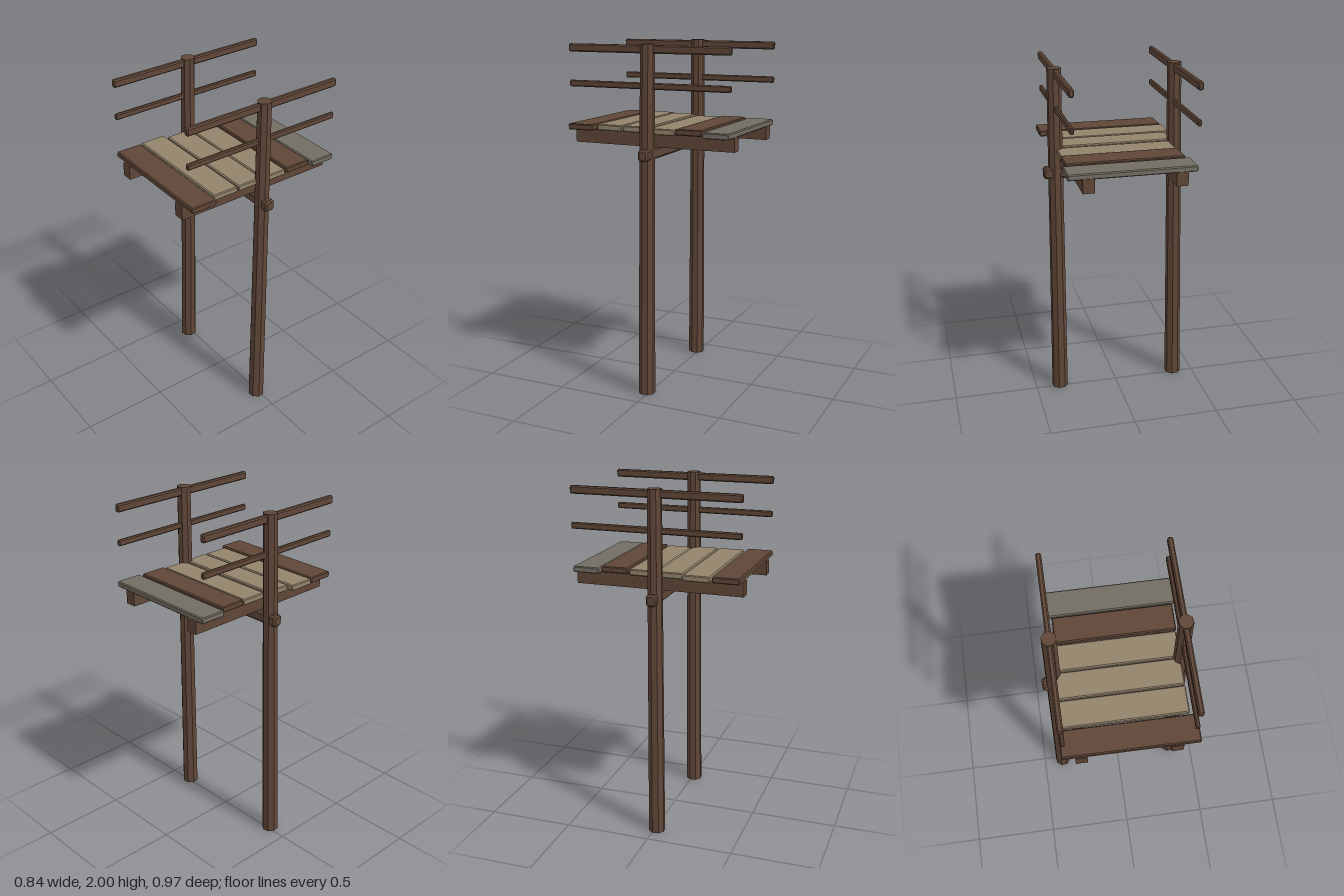
import * as THREE from 'three';

const darkWood = new THREE.MeshStandardMaterial({ color: 0x5f4637, name: 'darkWood' });
const paleWood = new THREE.MeshStandardMaterial({ color: 0x93836b, name: 'paleWood' });
const greyWood = new THREE.MeshStandardMaterial({ color: 0x736d62, name: 'greyWood' });
const postWood = darkWood.clone();
postWood.name = 'postWood';
postWood.flatShading = true;

// Timber with all edges chamfered, centred on the origin, its length along z
function timberGeometry(w, h, length, c) {
  const x = w / 2 - c, y = h / 2 - c, k = c * 0.6;
  const section = new THREE.Shape([
    [x, -y + k], [x, y - k], [x - k, y], [-x + k, y],
    [-x, y - k], [-x, -y + k], [-x + k, -y], [x - k, -y],
  ].map(([px, py]) => new THREE.Vector2(px, py)));
  const geo = new THREE.ExtrudeGeometry(section, {
    depth: length - 2 * c, bevelEnabled: true, bevelSegments: 1, bevelSize: c, bevelThickness: c,
  });
  return geo.translate(0, 0, -length / 2 + c);
}

export function createModel() {
  const model = new THREE.Group();
  model.name = 'lookoutPlatform';

  const add = (name, geometry, material, x, y, z) => {
    const mesh = new THREE.Mesh(geometry, material);
    mesh.name = name;
    mesh.position.set(x, y, z);
    model.add(mesh);
    return mesh;
  };

  // Tapered, slightly leaning posts
  const addPost = (name, foot, head) => {
    const geo = new THREE.CylinderGeometry(0.04, 0.048, 2, 8, 1);
    geo.rotateY(Math.PI / 8 + 0.12);
    const pos = geo.attributes.position;
    for (let i = 0; i < pos.count; i++) {
      const t = (pos.getY(i) + 1) / 2;
      pos.setX(i, pos.getX(i) + foot[0] + (head[0] - foot[0]) * t);
      pos.setZ(i, pos.getZ(i) + foot[1] + (head[1] - foot[1]) * t);
    }
    geo.computeVertexNormals();
    add(name, geo, postWood, 0, 1, 0);
  };
  addPost('rightPost', [-0.378, 0.016], [-0.339, 0]);
  addPost('leftPost', [0.353, 0.013], [0.346, 0]);

  // Cross beam between the posts
  add('crossBeam', timberGeometry(0.06, 0.066, 0.835, 0.01).rotateY(Math.PI / 2),
    darkWood, 0.002, 1.403, 0);

  // Square joists under the deck, and two rails on each post
  for (const [side, joistX, railX] of [['right', -0.254, -0.339], ['left', 0.258, 0.342]]) {
    add(side + 'Joist', new THREE.BoxGeometry(0.065, 0.08, 0.97), darkWood, joistX, 1.475, 0);
    add(side + 'TopRail', timberGeometry(0.03, 0.045, 0.97, 0.006), darkWood, railX, 1.972, 0);
    add(side + 'MiddleRail', timberGeometry(0.022, 0.036, 0.97, 0.005), darkWood, railX, 1.775, 0);
  }

  // Uneven deck planks: x from, x to, z, y, yaw, material
  const planks = [
    [-0.34, 0.37, -0.408, 1.527, -0.004, greyWood],
    [-0.318, 0.35, -0.245, 1.534, -0.006, darkWood],
    [-0.313, 0.345, -0.083, 1.528, -0.005, paleWood],
    [-0.335, 0.345, 0.08, 1.534, -0.003, paleWood],
    [-0.365, 0.345, 0.241, 1.534, -0.003, paleWood],
    [-0.358, 0.382, 0.405, 1.534, -0.005, darkWood],
  ];
  planks.forEach(([x0, x1, z, y, yaw, material], i) => {
    const geo = timberGeometry(0.154, 0.034, x1 - x0, 0.005).rotateY(Math.PI / 2);
    add('plank' + (i + 1), geo, material, (x0 + x1) / 2, y, z).rotation.y = yaw;
  });

  return model;
}
